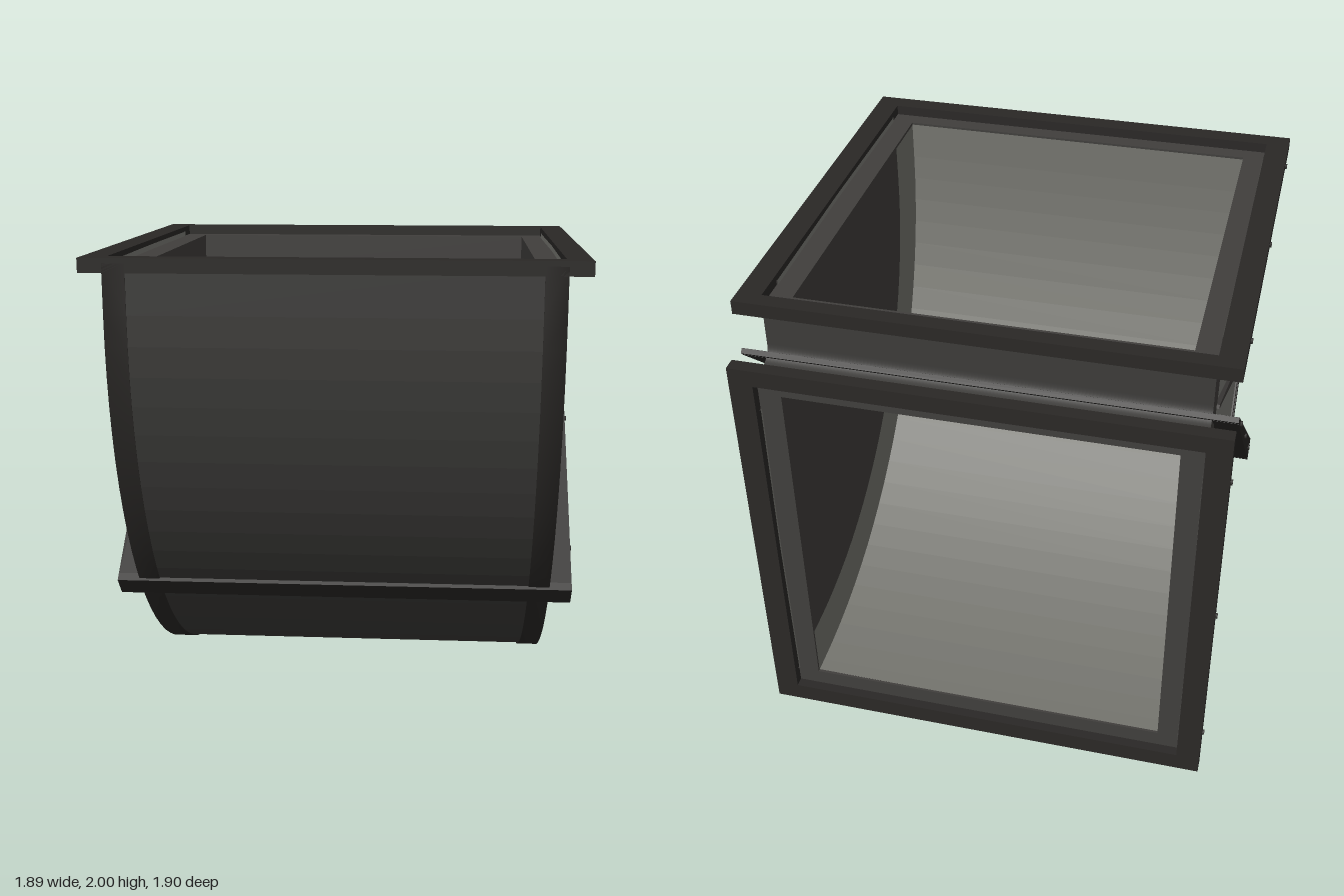
import * as THREE from 'three';

const CZ = -0.84, CY = 1.79, R_OUT = 1.785, R_IN = 0.06; // bend centre and radii
const SEGS = 24, MID = THREE.MathUtils.degToRad(41.5);

const mat = (color, extra = {}) => new THREE.MeshStandardMaterial({ color, ...extra });
const thin = { side: THREE.DoubleSide, flatShading: true };
const sheet = mat(0x3c3b39, thin);
const lining = mat(0x74746e, thin);
const panel = mat(0x7c7c76, thin);
const trim = mat(0x403e3c, thin);
const steel = mat(0x2a2826);
const rust = mat(0x4a2a1c);

// Sweep a line of [x, radius] points through the bend, with short straight ends
function sweep(profile, topEnd = 0.19, backEnd = 0.08) {
  const pos = [], idx = [], n = profile.length;
  const stations = [];
  for (let i = 0; i <= SEGS; i++) stations.push([(i / SEGS) * Math.PI / 2, 0, 0]);
  stations.unshift([0, topEnd, 0]);
  stations.push([Math.PI / 2, 0, -backEnd]);
  for (const [a, dy, dz] of stations)
    for (const [x, r] of profile) pos.push(x, CY + dy - r * Math.sin(a), CZ + dz + r * Math.cos(a));
  for (let s = 0; s < stations.length - 1; s++)
    for (let i = 0; i < n - 1; i++) {
      const a = s * n + i, b = a + 1, c = a + n, d = c + 1;
      idx.push(a, c, b, b, c, d);
    }
  const g = new THREE.BufferGeometry();
  g.setAttribute('position', new THREE.Float32BufferAttribute(pos, 3));
  g.setIndex(idx);
  g.computeVertexNormals();
  return g;
}

// Rectangular ring extruded along z; each rectangle is [x0, y0, x1, y1]
function ring(outer, inner, depth) {
  const trace = (p, [x0, y0, x1, y1]) => p.moveTo(x0, y0).lineTo(x1, y0).lineTo(x1, y1).lineTo(x0, y1).closePath();
  const shape = trace(new THREE.Shape(), outer);
  shape.holes.push(trace(new THREE.Path(), inner));
  return new THREE.ExtrudeGeometry(shape, { depth, bevelEnabled: false });
}

export function createModel() {
  const model = new THREE.Group();
  const add = (name, geo, material) => {
    const m = new THREE.Mesh(geo, material);
    m.name = name;
    model.add(m);
    return m;
  };

  // Bar pointing out from the bend centre, tapering towards the throat
  const radialBar = (name, angle, r0, r1, w0, w1, x0, x1, material) => {
    const g = new THREE.BoxGeometry(x1 - x0, 1, r1 - r0);
    const p = g.attributes.position;
    for (let i = 0; i < p.count; i++) p.setY(i, p.getY(i) * (p.getZ(i) > 0 ? w1 : w0));
    g.computeVertexNormals();
    const m = add(name, g, material), r = (r0 + r1) / 2;
    m.rotation.x = angle;
    m.position.set((x0 + x1) / 2, CY - r * Math.sin(angle), CZ + r * Math.cos(angle));
  };

  // Curved outer skin, and the lining that narrows the passage
  add('outerWall', sweep([[-0.77, R_OUT], [0.77, R_OUT]]), sheet);
  add('throatWall', sweep([[-0.84, R_IN], [0.84, R_IN]]), sheet);
  add('outerLining', sweep([[-0.75, 1.64], [0.75, 1.64]], 0.16, 0.06), lining);
  add('throatLining', sweep([[-0.75, 0.14], [0.75, 0.14]], 0.16, 0.06), trim);

  for (const s of [-1, 1]) {
    // Side lining, corner angles, edge strips and side panel
    add('sideLining', sweep([[s * 0.75, 0.14], [s * 0.75, 1.4]], 0.16, 0.06), trim);
    add('sideLiningStrip', sweep([[s * 0.75, 1.4], [s * 0.75, 1.64]], 0.16, 0.06), lining);
    add('cornerAngle', sweep([[s * 0.76, R_OUT], [s * 0.76, 1.79], [s * 0.845, 1.79], [s * 0.845, 1.71]]), steel.clone()).material.side = THREE.DoubleSide;
    add('outerEdge', sweep([[s * 0.845, 1.71], [s * 0.842, 1.71], [s * 0.842, 1.63], [s * 0.835, 1.63]]), trim);
    add('throatEdge', sweep([[s * 0.84, R_IN], [s * 0.842, 0.21], [s * 0.835, 0.21]]), trim);
    add('sidePanel', sweep([[s * 0.835, 0.21], [s * 0.84, 0.9], [s * 0.835, 1.63]]), panel);

    // Stiffening ribs and the seam flange between the two halves
    const span = (a, b) => (s > 0 ? [a, b] : [-b, -a]);
    for (const deg of [27, 62])
      radialBar('sideRib', THREE.MathUtils.degToRad(deg), 0.2, 1.64, 0.015, 0.065, ...span(0.832, 0.853), trim);
    radialBar('seamFlange', MID, 0.06, 1.8, 0.025, 0.1, ...span(0.832, 0.935), steel);

    // Bolts on the flange edges, [z, y, has rust streak]
    const bolts = [
      [0.73, 1.975, false], [0.06, 1.975, false], [-0.62, 1.975, true],
      [-0.92, 1.57, false], [-0.92, 0.9, false], [-0.92, 0.22, false],
      [-0.68, 1.65, false], [-0.17, 1.2, true], [0.33, 0.75, true],
    ];
    for (const [z, y, streak] of bolts) {
      const bolt = add('bolt', new THREE.CylinderGeometry(0.011, 0.011, 0.03, 6), steel);
      bolt.rotation.z = Math.PI / 2;
      bolt.position.set(s * 0.928, y, z);
      if (!streak) continue;
      const drip = add('rustStreak', new THREE.ConeGeometry(0.011, 0.15, 5), rust);
      drip.rotation.x = Math.PI;
      drip.scale.x = 0.4;
      drip.position.set(s * 0.86, y - 0.078, z);
    }
  }

  // Seam flange across the outer wall and the throat
  radialBar('seamCrossbar', MID, 1.765, 1.8, 0.1, 0.1, -0.935, 0.935, steel);
  radialBar('throatCrossbar', MID, 0.04, 0.07, 0.02, 0.025, -0.935, 0.935, steel);

  // Top flange with its inner lip (shape y becomes -z)
  const topFlange = add('topFlange', ring([-0.935, -0.95, 0.935, 0.835], [-0.84, -0.87, 0.84, 0.77], 0.055), steel);
  topFlange.rotation.x = -Math.PI / 2;
  topFlange.position.y = 1.945;
  const topLip = add('topLip', ring([-0.85, -0.88, 0.85, 0.78], [-0.75, -0.8, 0.75, 0.7], 0.012), trim);
  topLip.rotation.x = -Math.PI / 2;
  topLip.position.y = 1.947;

  // Back flange with its inner lip
  add('backFlange', ring([-0.935, 0, 0.935, 1.78], [-0.84, 0.08, 0.84, 1.71], 0.055), steel).position.z = -0.95;
  add('backLip', ring([-0.85, 0.07, 0.85, 1.72], [-0.75, 0.15, 0.75, 1.65], 0.012), trim).position.z = -0.91;

  return model;
}
